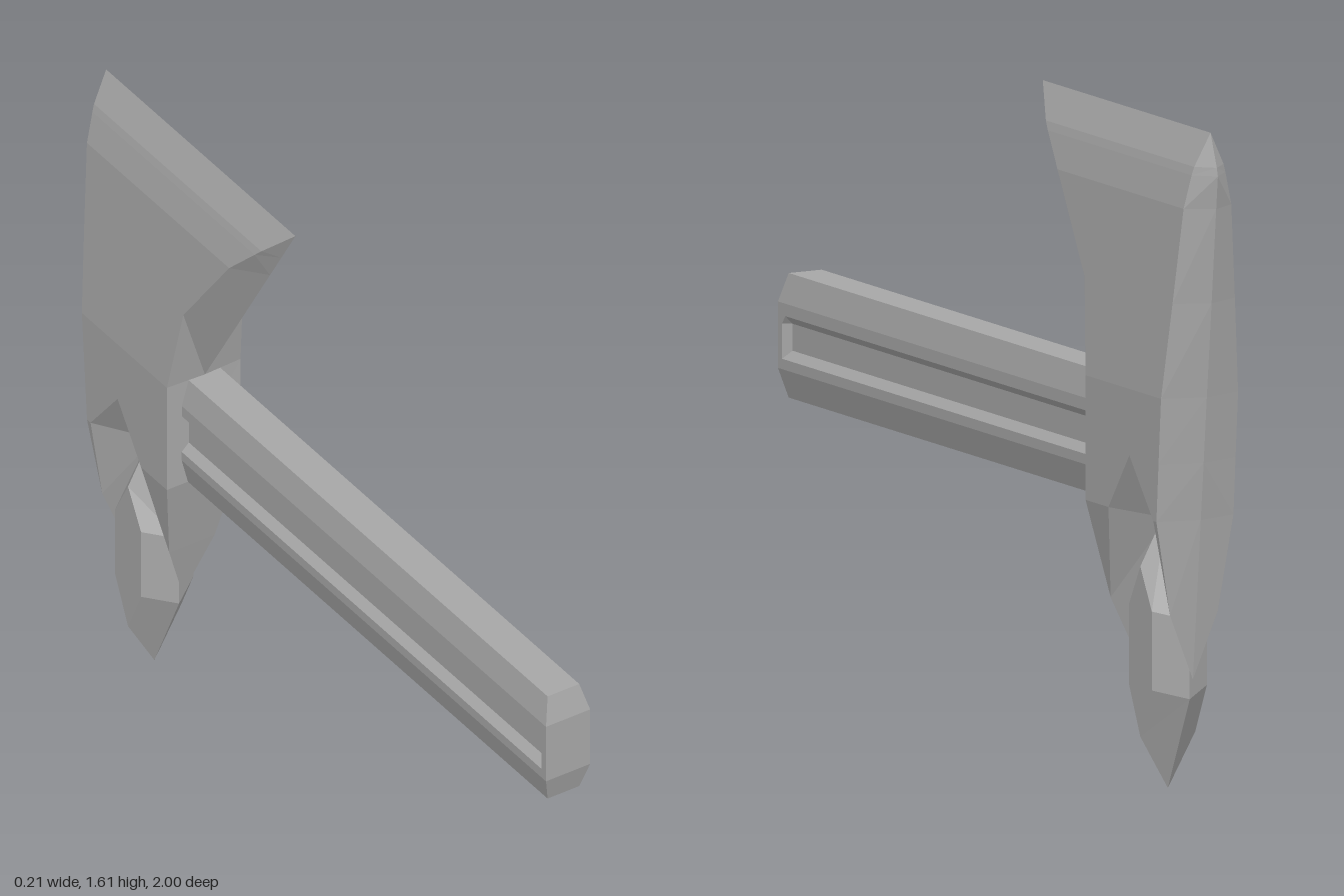
import * as THREE from 'three';

const steel = new THREE.MeshStandardMaterial({ color: 0xa6a6a6 });
steel.name = 'grey steel';

// Collects faces of the +x half and mirrors each one to -x.
function mirroredMesh(name, build) {
  const pos = [];
  const tri = (a, b, c) => {
    const area = new THREE.Triangle(...[a, b, c].map(p => new THREE.Vector3(...p))).getArea();
    if (area < 1e-7) return;
    pos.push(...a, ...b, ...c);
    for (const [x, y, z] of [a, c, b]) pos.push(-x, y, z);
  };
  const quad = (a, b, c, d) => { tri(a, b, d); tri(b, c, d); };
  build(tri, quad);
  const geo = new THREE.BufferGeometry();
  geo.setAttribute('position', new THREE.Float32BufferAttribute(pos, 3));
  geo.computeVertexNormals();
  const mesh = new THREE.Mesh(geo, steel);
  mesh.name = name;
  return mesh;
}

// Joins neighbouring cross-sections with quads.
function loft(rings, quad) {
  for (let r = 0; r + 1 < rings.length; r++)
    for (let i = 0; i + 1 < rings[r].length; i++)
      quad(rings[r][i], rings[r + 1][i], rings[r + 1][i + 1], rings[r][i + 1]);
}

// Axe head: wedge sections from cutting edge down, ending in a forked tail
function makeHead() {
  return mirroredMesh('axeHead', (tri, quad) => {
    // y, half width, front ridge z, front side z, back side z, back ridge z
    const rows = [
      [1.61, 0, -0.16, -0.16, -0.965, -0.965],
      [1.53, 0.04, -0.208, -0.245, -0.957, -0.995],
      [1.51, 0.046, -0.22, -0.265, -0.955, -1.0],
      [1.43, 0.065, -0.268, -0.345, -0.95, -0.992],
      [1.2, 0.085, -0.406, -0.51, -0.932, -0.97],
      [0.97, 0.105, -0.545, -0.55, -0.912, -0.947],
      [0.81, 0.105, -0.548, -0.55, -0.9, -0.932],
      [0.67, 0.105, -0.55, -0.55, -0.89, -0.918],
    ].map(([y, x, a, b, c, d]) => [[0, y, a], [x, y, b], [x, y, c], [0, y, d]]);
    loft(rows.slice(0, 7), quad);

    const [, F81, B81] = rows[6];
    const [rF, F, B, rB] = rows[7];
    const apex = [0.105, 0.81, -0.76], notch = [0, 0.65, -0.76];
    const P1 = [0.105, 0.67, -0.66], P2 = [0.105, 0.67, -0.875];
    const Q1 = [0.065, 0.44, -0.6], Q2 = [0.065, 0.44, -0.885];
    const M1 = [0, 0.44, -0.6], M2 = [0, 0.44, -0.896];
    const T1 = [0, 0.27, -0.64], T2 = [0, 0.28, -0.88];
    // cheeks beside the notch
    quad(rows[6][0], rF, F, F81);
    quad(F81, F, P1, apex);
    quad(apex, P2, B, B81);
    quad(B81, B, rB, rows[6][3]);
    // front and back prongs
    quad(rF, M1, Q1, F);
    tri(M1, T1, Q1);
    tri(F, Q1, P1);
    quad(B, Q2, M2, rB);
    tri(Q2, T2, M2);
    tri(P2, Q2, B);
    // bevelled notch walls
    tri(apex, P1, notch);
    tri(P1, Q1, notch);
    tri(Q1, T1, notch);
    tri(apex, notch, P2);
    tri(P2, notch, Q2);
    tri(Q2, notch, T2);
  });
}

// Handle: chamfered bar with a sunken groove on each side
function makeHandle() {
  return mirroredMesh('handle', (tri, quad) => {
    // half width, y, groove flag
    const profile = [[0, 0.97], [0.045, 0.97], [0.063, 0.9], [0.063, 0.87], [0.063, 0.85, 1],
      [0.063, 0.785, 1], [0.063, 0.765], [0.063, 0.74], [0.045, 0.67], [0, 0.67]];
    const ring = (z, depth) => profile.map(([x, y, g]) => [g ? x - depth : x, y, z]);
    const end = ring(1, 0).map(([x, y, z]) => [x, y, y > 0.95 || y < 0.7 ? 0.98 : z]);
    const rings = [end, ring(0.98, 0), ring(0.965, 0.02), ring(-0.6, 0.02)];
    for (let r = 0; r < 3; r++)
      for (let i = 0; i + 1 < profile.length; i++)
        quad(rings[r][i], rings[r][i + 1], rings[r + 1][i + 1], rings[r + 1][i]);
    // butt end
    const mid = end.map(([, y, z]) => [0, y, z]);
    for (let i = 0; i + 1 < end.length; i++) quad(mid[i], mid[i + 1], end[i + 1], end[i]);
  });
}

// Spike: faceted crystal held in the fork of the head
function makeSpike() {
  return mirroredMesh('lowerSpike', (tri, quad) => {
    const hexagon = (x, low, lo, hi, top, w) =>
      [[low, 0], [lo, -w], [hi, -w], [top, 0], [hi, w], [lo, w]].map(([y, z]) => [x, y, z - 0.76]);
    const outer = hexagon(0, 0, 0.23, 0.42, 0.68, 0.105);
    const inner = hexagon(0.075, 0.13, 0.25, 0.44, 0.54, 0.055);
    for (let i = 0; i < 6; i++) {
      const j = (i + 1) % 6;
      quad(outer[i], outer[j], inner[j], inner[i]);
      if (i > 0 && j > 0) tri(inner[0], inner[i], inner[j]);
    }
  });
}

export function createModel() {
  const axe = new THREE.Group();
  axe.name = 'axe';
  axe.add(makeHead(), makeHandle(), makeSpike());
  return axe;
}
